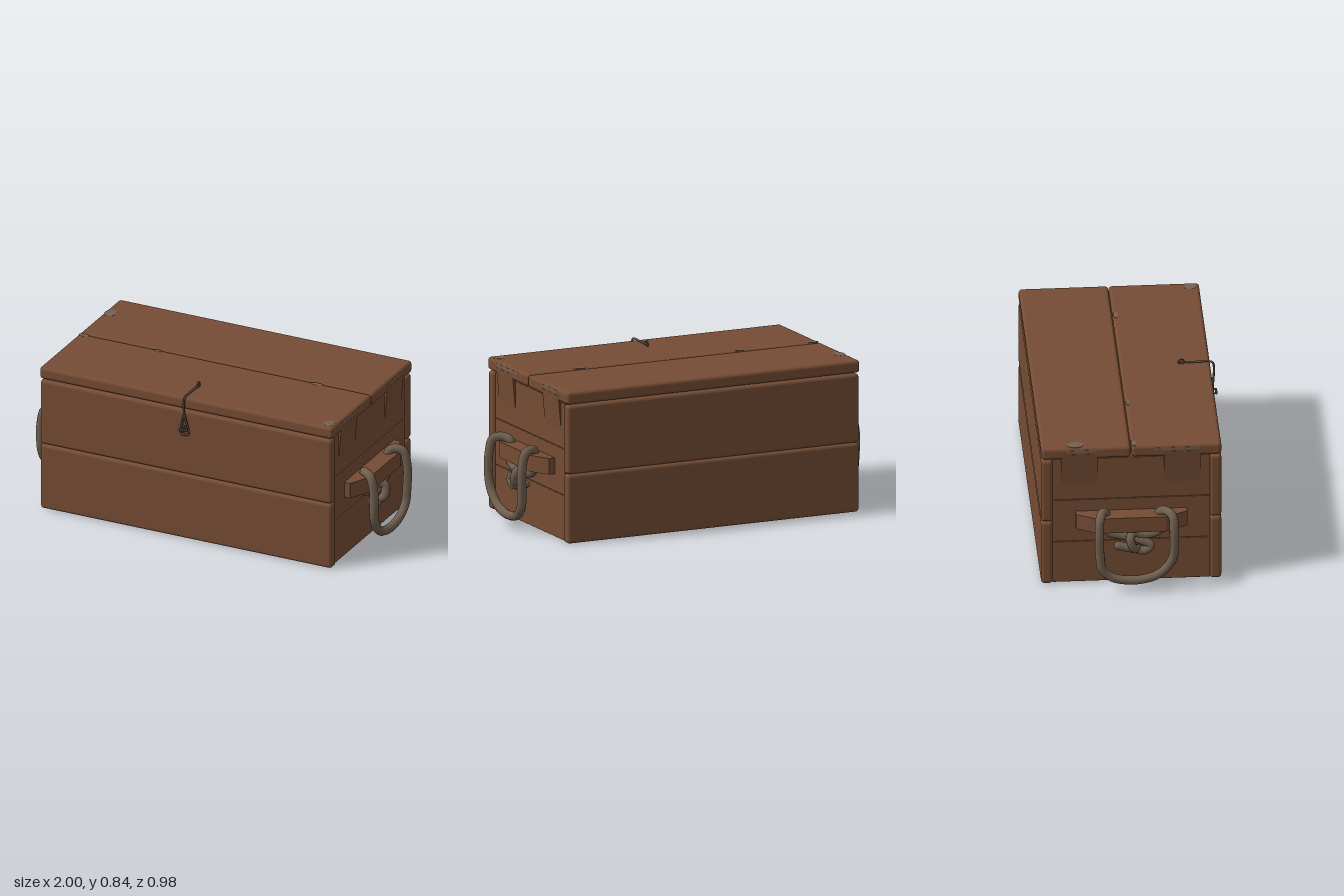
import * as THREE from 'three';
import { RoundedBoxGeometry } from 'three/addons/geometries/RoundedBoxGeometry.js';

function material(name, color) {
  const m = new THREE.MeshStandardMaterial({ color });
  m.name = name;
  return m;
}

export function createModel() {
  const wood = material('wood', 0x754c34);
  const ropeMat = material('rope', 0x6f5e4e);
  const iron = material('iron', 0x5a4c40);
  const worn = material('wornWood', 0x75604f);
  const chest = new THREE.Group();
  chest.name = 'chest';

  function add(parent, name, geometry, mat) {
    const mesh = new THREE.Mesh(geometry, mat);
    mesh.name = name;
    parent.add(mesh);
    return mesh;
  }
  // Board given by its limits on each axis, with softened edges
  function board(name, x0, x1, y0, y1, z0, z1, r = 0.015) {
    const g = new RoundedBoxGeometry(x1 - x0, y1 - y0, z1 - z0, 3, r);
    g.translate((x0 + x1) / 2, (y0 + y1) / 2, (z0 + z1) / 2);
    return add(chest, name, g, wood);
  }
  // Smooth tube through points, with closed ends
  function cord(parent, name, points, r, mat, sides = 10, steps = 60) {
    const pts = points.map((p) => new THREE.Vector3(...p));
    const curve = new THREE.CatmullRomCurve3(pts, false, 'centripetal');
    add(parent, name, new THREE.TubeGeometry(curve, steps, r, sides), mat);
    for (const p of [pts[0], pts[pts.length - 1]]) {
      add(parent, name + 'End', new THREE.SphereGeometry(r, sides, 6).translate(p.x, p.y, p.z), mat);
    }
  }

  // Front and back boards
  for (const [side, z0, z1] of [['front', 0.395, 0.455], ['back', -0.49, -0.43]]) {
    board(side + 'LowerBoard', -0.85, 0.85, 0.004, 0.374, z0, z1, 0.018);
    board(side + 'UpperBoard', -0.85, 0.85, 0.376, 0.745, z0, z1, 0.018);
  }
  // Lid boards and floor
  board('lidFrontBoard', -0.855, 0.855, 0.75, 0.817, -0.019, 0.455, 0.018);
  board('lidBackBoard', -0.855, 0.855, 0.75, 0.817, -0.49, -0.021, 0.018);
  board('floor', -0.82, 0.82, 0.015, 0.06, -0.435, 0.4, 0.004);

  for (const s of [1, -1]) {
    const side = s > 0 ? 'left' : 'right';
    // Three stacked end boards
    const lo = s > 0 ? 0.785 : -0.838, hi = s > 0 ? 0.838 : -0.785;
    [[0.008, 0.25], [0.251, 0.499], [0.5, 0.745]].forEach(([a, b], i) =>
      board(side + 'EndBoard' + (i + 1), lo, hi, a, b, -0.431, 0.396, 0.004));

    // Lid tabs, tapering down into the end boards
    for (const [z0, z1] of [[0.155, 0.345], [-0.385, -0.195]]) {
      const g = new THREE.BoxGeometry(0.06, 0.19, z1 - z0);
      const p = g.attributes.position;
      for (let i = 0; i < p.count; i++) {
        if (p.getY(i) < 0 && p.getX(i) * s > 0) p.setX(i, s * 0.012);
      }
      g.computeVertexNormals();
      g.translate(s * 0.826, 0.685, (z0 + z1) / 2);
      add(chest, side + 'LidTab', g, wood);
    }

    const handle = new THREE.Group();
    handle.name = side + 'Handle';
    chest.add(handle);

    // Cleat with chamfered ends
    const outline = [[0.82, 0.275], [0.872, 0.275], [0.93, 0.16], [0.93, -0.2], [0.872, -0.31], [0.82, -0.31]];
    const cleat = new THREE.ExtrudeGeometry(
      new THREE.Shape(outline.map(([x, z]) => new THREE.Vector2(s * x, -z))),
      { depth: 0.087, bevelEnabled: false });
    cleat.rotateX(-Math.PI / 2).translate(0, 0.343, 0);
    add(handle, 'cleat', cleat, wood);

    // Rope loop over the cleat, and the knot below it
    const flip = (pts) => pts.map(([x, y, z]) => [s * x, y, z]);
    cord(handle, 'ropeLoop', flip([
      [0.88, 0.36, 0.125], [0.88, 0.435, 0.128], [0.905, 0.453, 0.16], [0.95, 0.443, 0.192],
      [0.972, 0.36, 0.198], [0.972, 0.22, 0.195], [0.969, 0.155, 0.165], [0.966, 0.105, 0.11],
      [0.965, 0.08, 0.03], [0.965, 0.078, -0.05], [0.966, 0.1, -0.13], [0.969, 0.15, -0.178],
      [0.972, 0.23, -0.19], [0.972, 0.36, -0.193], [0.95, 0.44, -0.188], [0.905, 0.453, -0.172],
      [0.88, 0.435, -0.155], [0.88, 0.36, -0.152]]), 0.024, ropeMat, 10, 90);
    cord(handle, 'knotStrandA', flip([
      [0.882, 0.37, 0.14], [0.882, 0.325, 0.125], [0.885, 0.303, 0.05], [0.895, 0.318, -0.01],
      [0.925, 0.305, -0.028], [0.928, 0.25, -0.012], [0.9, 0.228, 0.01]]), 0.023, ropeMat);
    cord(handle, 'knotStrandB', flip([
      [0.882, 0.37, -0.155], [0.882, 0.325, -0.14], [0.882, 0.298, -0.06], [0.895, 0.28, 0.02],
      [0.902, 0.248, 0.08], [0.904, 0.22, 0.05], [0.9, 0.232, -0.02], [0.9, 0.25, -0.09]]), 0.023, ropeMat);

    // Rubbed upper edges of the lid ends
    for (const [z0, z1] of [[0.1, 0.345], [-0.36, -0.2]]) {
      add(chest, 'wornLidEnd', new THREE.BoxGeometry(0.004, 0.014, z1 - z0)
        .translate(s * 0.8535, 0.797, (z0 + z1) / 2), worn);
    }
  }

  // Rubbed spots on top of the lid: x, z, half width, half depth
  for (const [x, z, w, d] of [[-0.818, -0.31, 0.032, 0.045], [0.812, 0.405, 0.03, 0.035],
    [-0.82, -0.003, 0.03, 0.016], [-0.39, -0.003, 0.025, 0.012], [0.54, -0.003, 0.035, 0.014]]) {
    add(chest, 'wornSpot', new THREE.CylinderGeometry(1, 1, 0.003, 9).scale(w, 1, d)
      .translate(x, 0.8165, z), worn);
  }

  // Wire latch: arm over the lid edge, teardrop catch and eyelets
  const latch = new THREE.Group();
  latch.name = 'latch';
  chest.add(latch);
  cord(latch, 'latchArm', [[0, 0.826, 0.3], [0, 0.826, 0.38], [0, 0.826, 0.45], [0, 0.818, 0.468],
    [0, 0.79, 0.475], [0, 0.72, 0.472]], 0.006, iron, 6, 30);
  for (const s of [1, -1]) {
    cord(latch, 'latchDrop', [[0, 0.73, 0.472], [s * 0.01, 0.69, 0.469], [s * 0.022, 0.635, 0.465],
      [s * 0.02, 0.612, 0.464], [0, 0.608, 0.464]], 0.006, iron, 6, 20);
  }
  const eye = (y, z) => add(latch, 'eyelet',
    new THREE.TorusGeometry(0.015, 0.005, 6, 8).rotateY(Math.PI / 2).translate(0, y, z), iron);
  eye(0.829, 0.303);
  eye(0.645, 0.474);
  add(latch, 'catchPin', new THREE.CylinderGeometry(0.006, 0.006, 0.05, 6)
    .rotateZ(Math.PI / 2).translate(0, 0.645, 0.486), iron);

  return chest;
}
